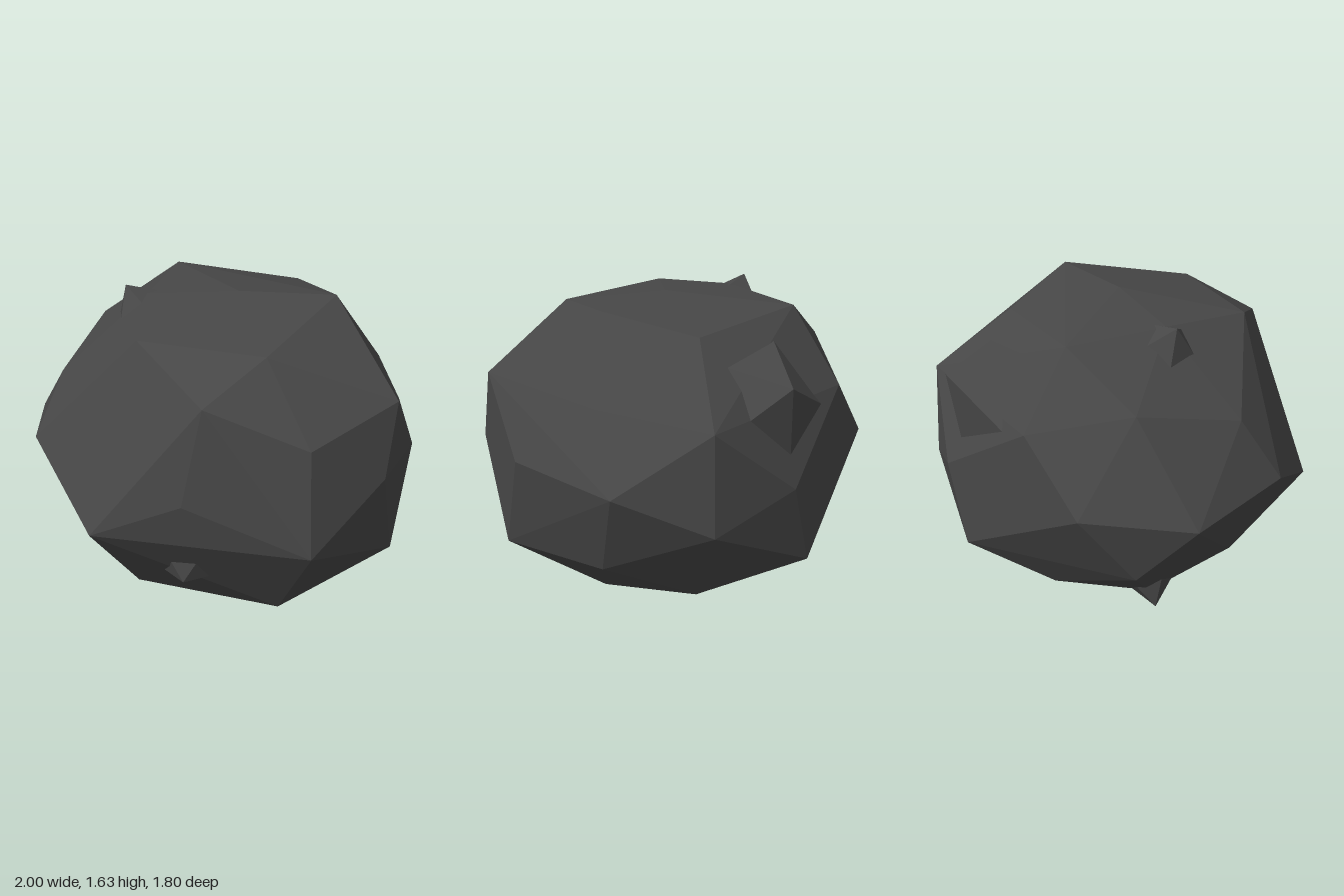
import * as THREE from 'three';
import { ConvexGeometry } from 'three/addons/geometries/ConvexGeometry.js';

const V = (p) => new THREE.Vector3(...p);
const UP = new THREE.Vector3(0, 1, 0);
const CENTRE = new THREE.Vector3(0, 0.83, 0);

// Corners of the faceted boulder
const corners = [
  // axis points: sides, top, bottom, front, back
  [1, 0.92, 0.1], [-1, 0.84, -0.065], [0.1, 1.635, 0.05],
  [0.01, 0, 0.05], [0.01, 0.88, 0.9], [0.1, 0.85, -0.905],
  // upper cap
  [0.57, 1.62, -0.04], [0.34, 1.53, 0.57], [-0.28, 1.55, 0.56],
  [0.31, 1.53, -0.455], [-0.33, 1.58, -0.43], [-0.36, 1.595, 0.08],
  // lower cap
  [0.42, 0.16, 0.57], [-0.32, 0.18, 0.52], [0.35, 0.22, -0.48], [-0.3, 0.26, -0.5],
  [0.53, 0.175, -0.04], [0.61, 0.21, -0.08], [-0.44, 0.145, -0.03],
  // front and back shoulders
  [0.1, 1.37, 0.845], [0.59, 1.175, 0.775], [-0.385, 1.15, 0.69],
  [0.62, 0.65, 0.855], [-0.455, 0.645, 0.87], [0.52, 1.19, -0.8],
  [-0.41, 1.21, -0.685], [0.53, 0.69, -0.82], [-0.4, 0.67, -0.7], [-0.03, 0.44, -0.87],
  // left and right flanks
  [0.94, 1.29, 0.4], [0.775, 1.225, -0.25], [0.94, 0.42, 0.295], [0.79, 0.43, -0.3],
  [0.91, 0.93, 0.51], [0.88, 0.87, -0.49],
  [-0.69, 1.34, -0.24], [-0.75, 1.23, 0.285], [-0.69, 0.49, 0.26],
  [-0.78, 0.5, -0.28], [-0.72, 0.87, -0.555], [-0.855, 0.925, 0.46],
];

// Five-sided points pushing out through flat facets: name, tip, height, radius, turn
const spikes = [
  ['backSpike', [0.11, 1.34, -0.88], 0.28, 0.36, 0.63],
  ['frontSpike', [-0.015, 0.385, 0.785], 0.15, 0.25, 0],
  ['upperRightSpike', [-0.47, 1.63, 0.08], 0.22, 0.24, 0.63],
  ['lowerRightSpike', [-0.55, 0.12, -0.05], 0.25, 0.23, 0],
];

export function createModel() {
  const model = new THREE.Group();
  model.name = 'boulder';
  const stone = new THREE.MeshStandardMaterial({ color: 0x474747, flatShading: true });

  const body = new THREE.Mesh(new ConvexGeometry(corners.map(V)), stone);
  body.name = 'boulderBody';
  model.add(body);

  // Each spike points straight out from the middle, its base sunk in the stone
  for (const [name, tip, height, radius, turn] of spikes) {
    const cone = new THREE.ConeGeometry(radius, height, 5, 1, true);
    cone.rotateY(turn).translate(0, -height / 2, 0);
    const spike = new THREE.Mesh(cone, stone);
    spike.name = name;
    spike.position.copy(V(tip));
    spike.quaternion.setFromUnitVectors(UP, V(tip).sub(CENTRE).normalize());
    model.add(spike);
  }
  return model;
}
